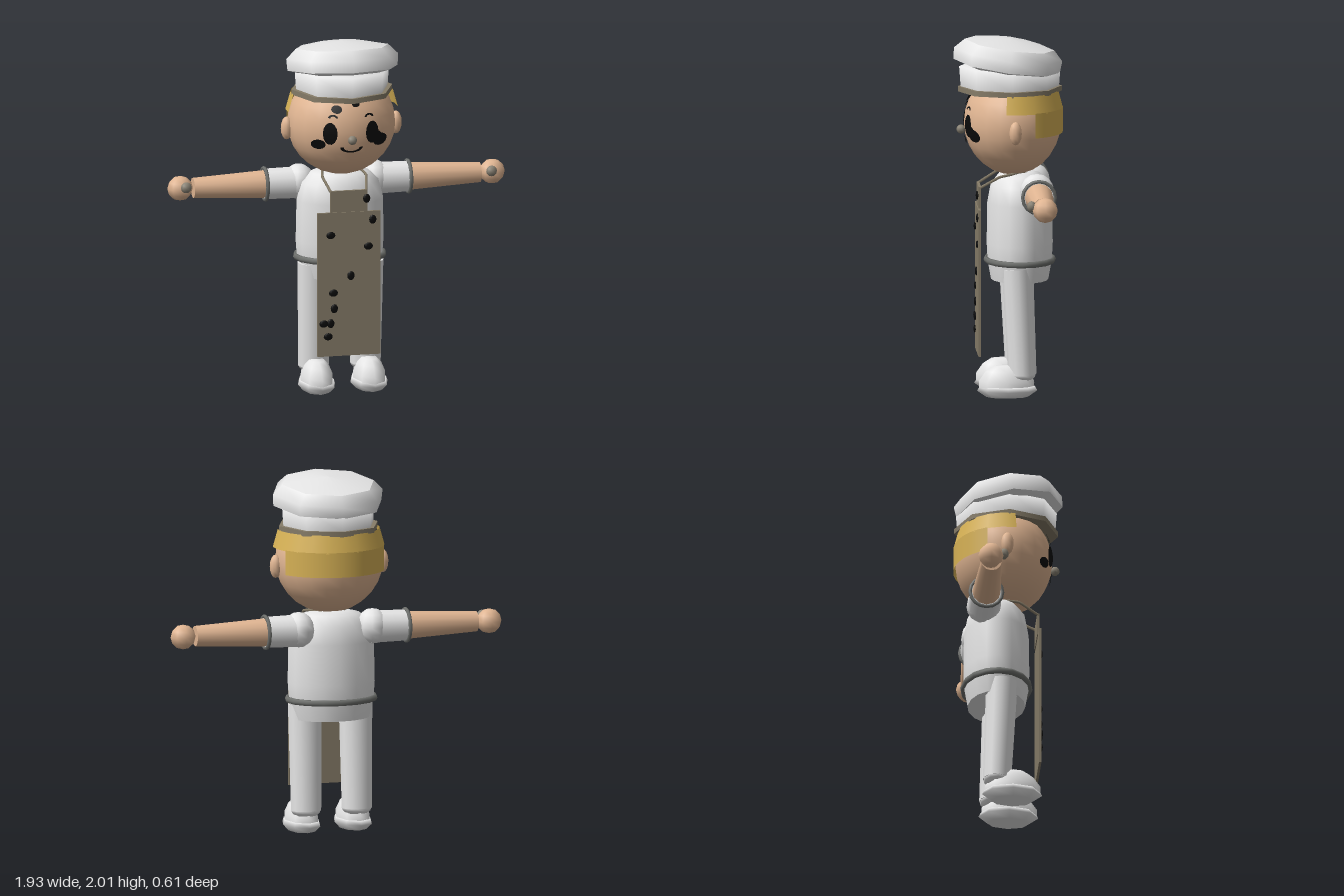
import * as THREE from 'three';

const mat = (name, color, side = THREE.FrontSide) => {
  const m = new THREE.MeshStandardMaterial({ color, side });
  m.name = name;
  return m;
};

export function createModel() {
  const root = new THREE.Group();
  root.name = 'cook';
  const white = mat('white cloth', 0xe6e6e6);
  const skin = mat('skin', 0xe0b592);
  const blond = mat('blond hair', 0xd6b155, THREE.DoubleSide);
  const apronTan = mat('apron tan', 0x877d69);
  const grey = mat('grey trim', 0x6e706d);
  const button = mat('button grey', 0x8a8375);
  const black = mat('black', 0x0a0a0a, THREE.DoubleSide);

  const add = (name, geo, material, x = 0, y = 0, z = 0) => {
    const m = new THREE.Mesh(geo, material);
    m.name = name;
    m.position.set(x, y, z);
    root.add(m);
    return m;
  };
  const ball = (name, material, p, r, w = 10, h = 8) =>
    add(name, new THREE.SphereGeometry(1, w, h).scale(...r), material, ...p);
  // Lathe from [radius, y] pairs, stretched to an oval
  const oval = (name, material, pts, segs, p, sx = 1, sz = 1) =>
    add(name, new THREE.LatheGeometry(pts.map(a => new THREE.Vector2(...a)), segs).scale(sx, 1, sz), material, ...p);

  // Head
  const headC = [0, 1.53, -0.03], headR = [0.305, 0.295, 0.272];
  ball('head', skin, headC, headR, 20, 14);
  ball('nose', button, [0, 1.49, 0.258], [0.026, 0.026, 0.026], 8, 6);

  // Lays a flat shape on the front of the head
  const onFace = (name, geo) => {
    const p = geo.attributes.position;
    for (let i = 0; i < p.count; i++) {
      const x = p.getX(i), y = p.getY(i);
      const k = 1 - (x / headR[0]) ** 2 - ((y - headC[1]) / headR[1]) ** 2;
      p.setZ(i, headC[2] + headR[2] * Math.sqrt(Math.max(k, 0)) + 0.009);
    }
    geo.computeVertexNormals();
    add(name, geo, black);
  };
  const disc = (x, y, rx, ry) => new THREE.CircleGeometry(1, 14).scale(rx, ry, 1).translate(x, y, 0);
  const faceSpots = [
    [-0.08, 1.66, 0.03, 0.022], [0.03, 1.685, 0.022, 0.016],
    [-0.18, 1.46, 0.037, 0.029], [0.17, 1.475, 0.046, 0.036], [0.145, 1.5, 0.035, 0.03],
  ];
  for (const f of faceSpots) onFace('faceSpot', disc(...f));

  // Flat arc strips for the mouth and brows
  const strip = (cx, cy, r, w, a0, len, sy) =>
    new THREE.RingGeometry(r - w, r + w, 12, 1, a0, len).scale(1, sy, 1).translate(cx, cy, 0);
  onFace('mouth', strip(0, 1.445, 0.055, 0.01, Math.PI, Math.PI, 0.5));

  // Sides that mirror each other
  for (const s of [1, -1]) {
    onFace('eye', disc(s * 0.12, 1.525, 0.039, 0.064));
    onFace('brow', strip(s * 0.103, 1.61, 0.022, 0.006, 0.2, Math.PI - 0.4, 0.8));
    ball('ear', skin, [s * 0.312, 1.508, -0.03], [0.034, 0.066, 0.036]);

    // Arm
    ball('shoulder', white, [s * 0.215, 1.165, -0.155], [0.09, 0.1, 0.1]);
    const sleeve = add('sleeve', new THREE.CylinderGeometry(0.088, 0.092, 0.22, 12), white, s * 0.305, 1.16, -0.155);
    sleeve.rotation.z = -s * Math.PI / 2;
    const cuff = add('cuff', new THREE.TorusGeometry(0.09, 0.011, 6, 16), grey, s * 0.41, 1.16, -0.155);
    cuff.rotation.y = Math.PI / 2;
    const arm = add('forearm', new THREE.CylinderGeometry(0.058, 0.081, 0.43, 12), skin, s * 0.605, 1.16, -0.155);
    arm.rotation.z = -s * Math.PI / 2;
    ball('hand', skin, [s * 0.892, 1.16, -0.163], [0.073, 0.07, 0.07], 8, 6);
    ball('handButton', button, [s * 0.873, 1.18, -0.088], [0.031, 0.031, 0.026], 8, 6);

    // Leg and shoe
    const leg = add('leg', new THREE.CylinderGeometry(0.098, 0.088, 0.6, 12).scale(1, 1, 0.9), white, s * 0.148, 0.425, -0.063);
    leg.rotation.x = 0.045;
    ball('ankle', white, [s * 0.148, 0.13, -0.075], [0.088, 0.045, 0.079]);
    oval('shoe', white, [[1, 0.04], [1, 0.09], [0.75, 0.145], [0.45, 0.175], [0, 0.178]], 8, [s * 0.15, 0, 0.012], 0.092, 0.155);
    oval('sole', white, [[0, 0.002], [0.7, 0], [1, 0.035], [0.92, 0.06], [0, 0.062]], 8, [s * 0.15, 0, 0.008], 0.106, 0.168);

    // Apron strap
    const path = new THREE.CatmullRomCurve3([
      [0.1, 1.17, 0.16], [0.125, 1.235, 0.05], [0.11, 1.25, -0.03], [0.06, 1.25, -0.1],
    ].map(a => new THREE.Vector3(s * a[0], a[1], a[2])), false, 'catmullrom', 0.1);
    add('apronStrap', new THREE.TubeGeometry(path, 16, 0.008, 5), apronTan);
  }

  // Hair: a band under the hat and a lower back panel
  const hair = (name, top, bottom, h, y, t0) =>
    add(name, new THREE.CylinderGeometry(top, bottom, h, 12, 1, true, t0, 2 * (Math.PI - t0)).scale(1, 1, 0.92), blond, 0, y, -0.02);
  hair('hairTop', 0.288, 0.316, 0.1, 1.66, 1.43);
  hair('hairBack', 0.316, 0.316, 0.14, 1.545, 2.0);

  // Hat
  oval('hatTrim', apronTan, [[0, 1.703], [0.288, 1.703], [0.288, 1.703], [0.288, 1.732], [0.288, 1.732], [0, 1.732]], 8, [0, 0, -0.015], 1, 1.01);
  oval('hatBand', white, [[0.262, 1.73], [0.27, 1.845], [0, 1.86]], 8, [0, 0, -0.015], 1, 1.05);
  const crown = oval('hatCrown', white, [[0, -0.05], [0.24, -0.045], [0.315, -0.025], [0.315, -0.025],
    [0.32, 0.04], [0.265, 0.095], [0.265, 0.095], [0.13, 0.122], [0, 0.13]], 8, [0, 1.87, 0], 1, 0.955);
  crown.rotation.x = -0.14;

  // Shirt and belt
  oval('shirt', white, [[0, 0.645], [0.87, 0.645], [0.87, 0.645], [0.97, 0.75], [1, 0.85], [0.98, 1.08],
    [0.88, 1.18], [0.65, 1.235], [0.4, 1.25], [0, 1.255]], 16, [0, 0, -0.07], 0.252, 0.185);
  const belt = add('belt', new THREE.TorusGeometry(1, 0.065, 6, 16), grey, 0, 0.755, -0.07);
  belt.rotation.x = Math.PI / 2;
  belt.scale.set(0.25, 0.19, 0.28);

  // Apron
  add('apron', new THREE.BoxGeometry(0.36, 0.825, 0.014), apronTan, 0, 0.643, 0.163);
  add('apronBib', new THREE.BoxGeometry(0.212, 0.13, 0.014), apronTan, 0, 1.113, 0.158);
  const spots = [[-0.105, 0.927], [0.135, 1.008], [0.11, 0.855], [0.01, 0.69], [-0.09, 0.595],
    [-0.085, 0.505], [-0.145, 0.42], [-0.105, 0.42], [-0.12, 0.345], [0.1, 1.13]];
  spots.forEach(([x, y], i) => {
    const wide = i % 2 ? 0.021 : 0.026;
    ball('apronSpot', black, [x, y, 0.174], [wide, 0.047 - wide, 0.0075], 10, 6);
  });
  return root;
}
